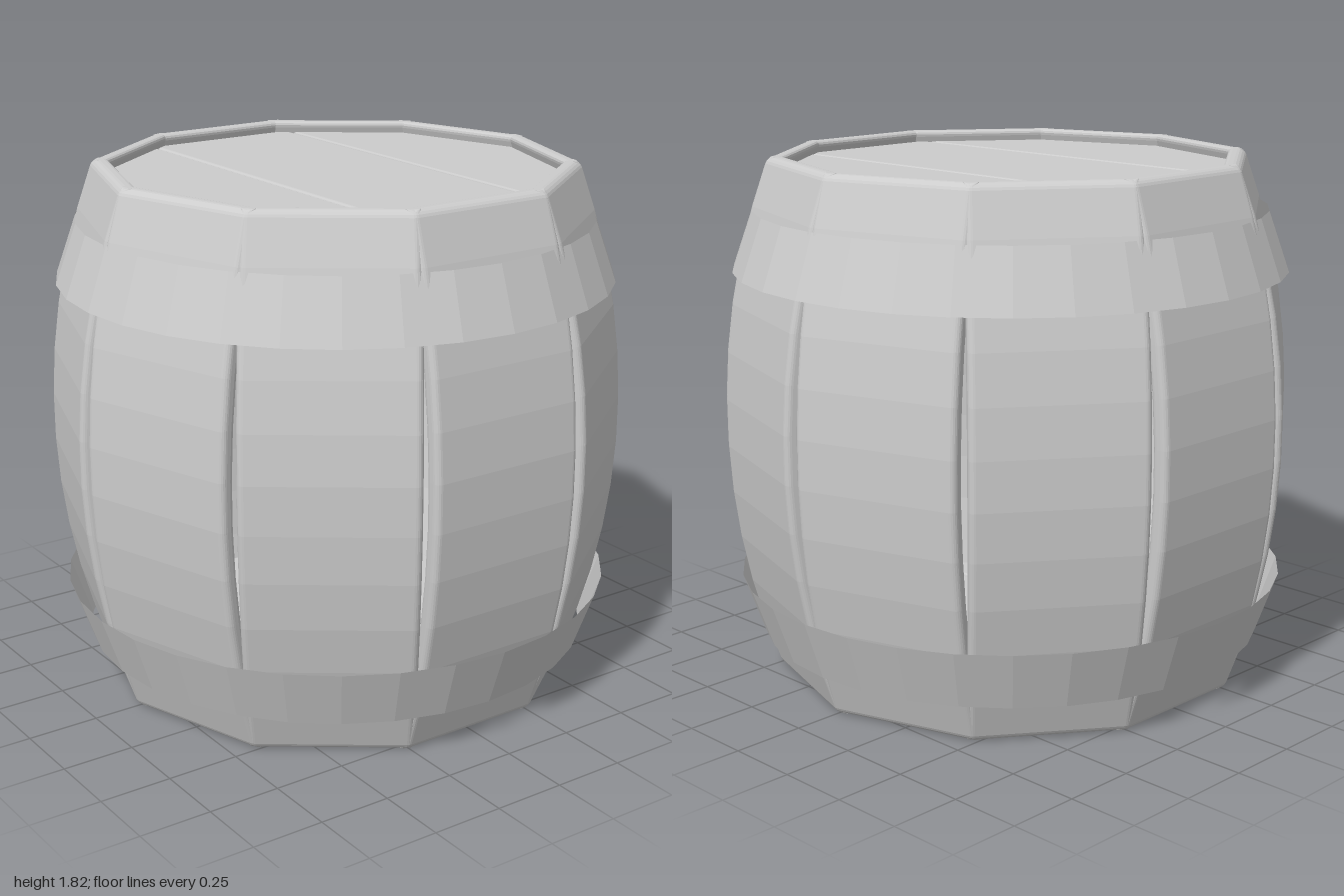
import * as THREE from 'three';

const HEIGHT = 1.82;
const STAVES = 10;
const grey = new THREE.MeshStandardMaterial({ color: 0xcccccc, flatShading: true, side: THREE.DoubleSide });
grey.name = 'pale grey';

// Outer face distance from the axis: a circular arc bulging at mid height
function bulge(y) {
  const d = y - HEIGHT / 2;
  return 0.96 - (2.52 - Math.sqrt(2.52 * 2.52 - d * d));
}

// Rounded rectangle cross-section, counter-clockwise
function roundedSection(halfW, halfT) {
  const r = Math.min(0.022, halfT * 0.95), points = [];
  const corners = [[1, 1, 0], [-1, 1, 1], [-1, -1, 2], [1, -1, 3]];
  for (const [sx, sz, q] of corners) {
    for (let k = 0; k <= 5; k++) {
      const a = (q + k / 5) * Math.PI / 2;
      points.push([sx * (halfW - r) + r * Math.cos(a), sz * (halfT - r) + r * Math.sin(a)]);
    }
  }
  return points;
}

// One curved plank, lofted upwards with rounded ends
function staveGeometry() {
  const halfT = 0.03, lip = 0.022, stations = [];
  for (let k = 4; k >= 1; k--) {
    const a = k / 4 * Math.PI / 2;
    stations.push([lip * (1 - Math.sin(a)), lip * (1 - Math.cos(a))]);
  }
  stations.push([lip, 0]);
  for (let i = 1; i < 11; i++) stations.push([HEIGHT * i / 11, 0]);
  for (const [y, inset] of stations.slice(0, 5).reverse()) stations.push([HEIGHT - y, inset]);

  const pos = [], index = [];
  let n = 0;
  for (const [y, inset] of stations) {
    const r = bulge(y);
    const halfW = 0.272 + 0.016 * (r - 0.79) / 0.17;
    const section = roundedSection(halfW, halfT - inset);
    n = section.length;
    for (const [x, z] of section) pos.push(x, y, r - halfT + z);
  }
  const rings = stations.length;
  for (let j = 0; j < rings - 1; j++) {
    for (let i = 0; i < n; i++) {
      const a = j * n + i, b = j * n + (i + 1) % n;
      index.push(a, a + n, b, b, a + n, b + n);
    }
  }
  // End caps
  const top = (rings - 1) * n;
  for (let i = 1; i < n - 1; i++) {
    index.push(0, i, i + 1);
    index.push(top, top + i + 1, top + i);
  }
  const geo = new THREE.BufferGeometry();
  geo.setAttribute('position', new THREE.Float32BufferAttribute(pos, 3));
  geo.setIndex(index);
  const flat = geo.toNonIndexed();
  flat.computeVertexNormals();
  return flat;
}

// Lid board with softened edges; its top face lies at y = 0
function boardGeometry(outline) {
  const bevel = 0.014;
  const shape = new THREE.Shape(outline.map(([x, z]) => new THREE.Vector2(x, z)));
  const geo = new THREE.ExtrudeGeometry(shape, {
    depth: 0.03, bevelEnabled: true, bevelThickness: bevel,
    bevelSize: bevel, bevelOffset: -bevel, bevelSegments: 4,
  });
  geo.rotateX(Math.PI / 2);
  geo.translate(0, -bevel, 0);
  return geo;
}

// Three boards that together fill the ten-sided opening
function makeLid(name, topY) {
  const lid = new THREE.Group();
  lid.name = name;
  const R = 0.75 / Math.cos(Math.PI / 10);
  const corner = deg => [R * Math.sin(deg * Math.PI / 180), R * Math.cos(deg * Math.PI / 180)];
  const [x1, z1] = corner(18), [x2, z2] = corner(54);
  const edgeZ = x => z1 - (x - x1) * Math.tan(Math.PI / 5);
  const left = -0.283, right = 0.293, gap = 0.006;
  const add = (part, outline) => {
    const mesh = new THREE.Mesh(boardGeometry(outline), grey);
    mesh.name = part;
    mesh.position.y = topY;
    lid.add(mesh);
  };
  add('middleBoard', [
    [right, -edgeZ(right)], [right, edgeZ(right)], [x1, z1], [-x1, z1],
    [left, edgeZ(-left)], [left, -edgeZ(-left)], [-x1, -z1], [x1, -z1],
  ]);
  for (const [part, s, cut] of [['leftBoard', 1, right + gap], ['rightBoard', -1, -left + gap]]) {
    const outline = [[s * cut, -edgeZ(cut)], [s * x2, -z2], [s * R, 0], [s * x2, z2], [s * cut, edgeZ(cut)]];
    add(part, s > 0 ? outline : outline.reverse());
  }
  return lid;
}

export function createModel() {
  const barrel = new THREE.Group();
  barrel.name = 'barrel';

  // Ring of staves
  const staves = new THREE.Group();
  staves.name = 'staves';
  const geo = staveGeometry();
  for (let i = 0; i < STAVES; i++) {
    const stave = new THREE.Mesh(geo, grey);
    stave.name = 'stave';
    stave.rotation.y = i / STAVES * Math.PI * 2;
    staves.add(stave);
  }
  barrel.add(staves);

  // Recessed lids
  barrel.add(makeLid('topLid', HEIGHT - 0.04), makeLid('bottomLid', 0.085));

  // Thin conical hoops
  for (const [name, rTop, rBottom, y] of [['topHoop', 0.89, 0.963, 1.537], ['bottomHoop', 0.963, 0.89, 0.25]]) {
    const hoop = new THREE.Mesh(new THREE.CylinderGeometry(rTop, rBottom, 0.208, 32, 1, true), grey);
    hoop.name = name;
    hoop.position.y = y;
    barrel.add(hoop);
  }
  return barrel;
}
